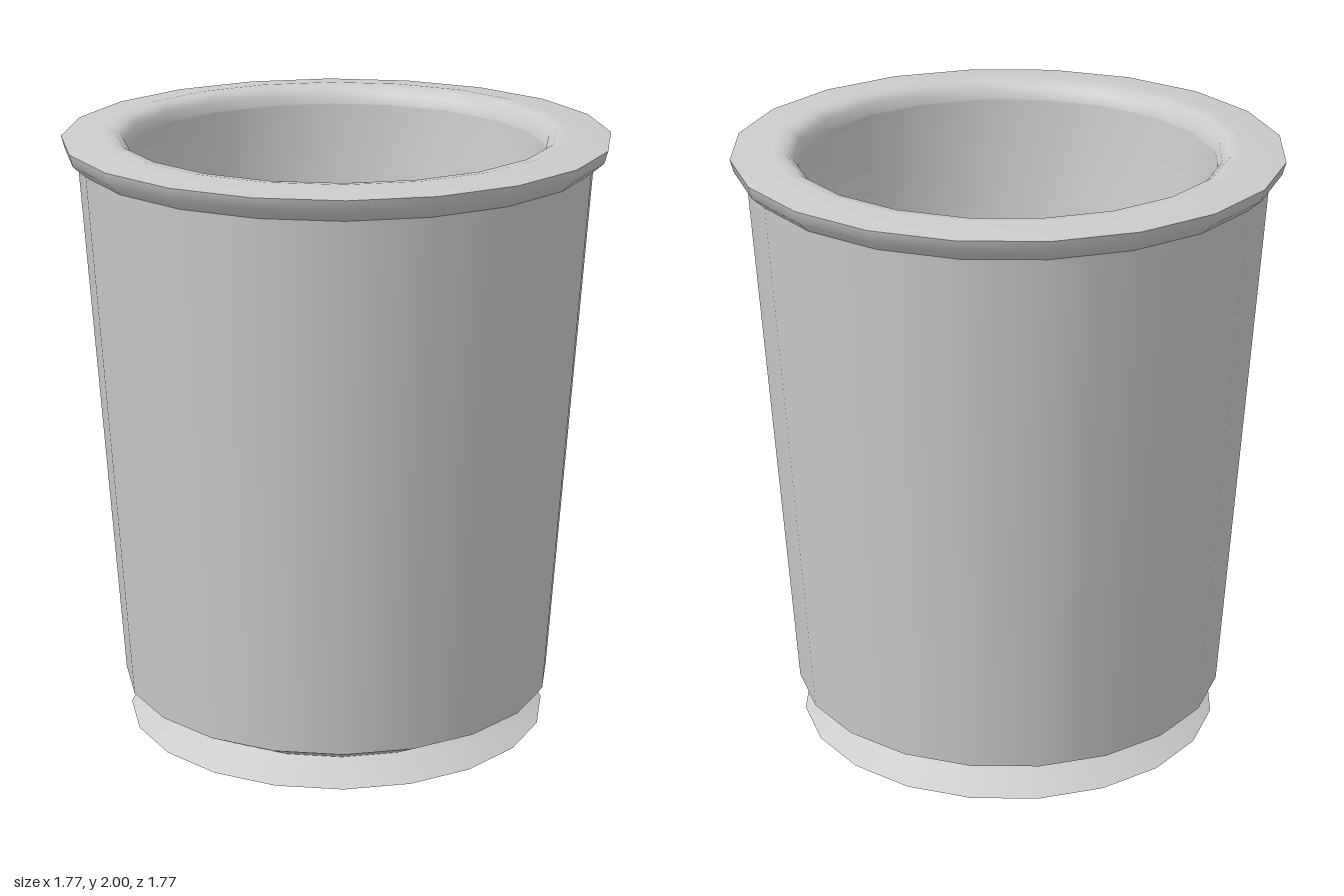
import * as THREE from 'three';

const SIDES = 20;

export function createModel() {
  const group = new THREE.Group();
  group.name = 'cup';
  const material = new THREE.MeshStandardMaterial({ color: 0xcccccc });

  // Each profile runs along the skin from base to rim to floor; splits keep the edges sharp.
  const turn = (name, profile) => {
    const points = profile.map(([r, y]) => new THREE.Vector2(r, y));
    const mesh = new THREE.Mesh(new THREE.LatheGeometry(points, SIDES), material);
    mesh.name = name;
    group.add(mesh);
  };

  turn('baseDisc', [[0, 0], [0.705, 0]]);
  // Flared foot below the narrow waist
  turn('foot', [[0.705, 0], [0.59, 0.06]]);
  turn('waist', [[0.59, 0.06], [0.72, 0.13]]);
  turn('outerWall', [[0.72, 0.13], [0.835, 1.91]]);
  // Overhanging rim, from its underside to its outer edge
  turn('rimEdge', [[0.835, 1.91], [0.875, 1.945], [0.886, 1.985]]);
  // Nearly flat rim top, rolling softly into the opening
  turn('rimTop', [[0.886, 1.985], [0.75, 2], [0.71, 1.995], [0.685, 1.975], [0.675, 1.94]]);
  // Tapered inside wall and the floor
  turn('interior', [[0.675, 1.94], [0.545, 0.15], [0, 0.13]]);

  return group;
}
